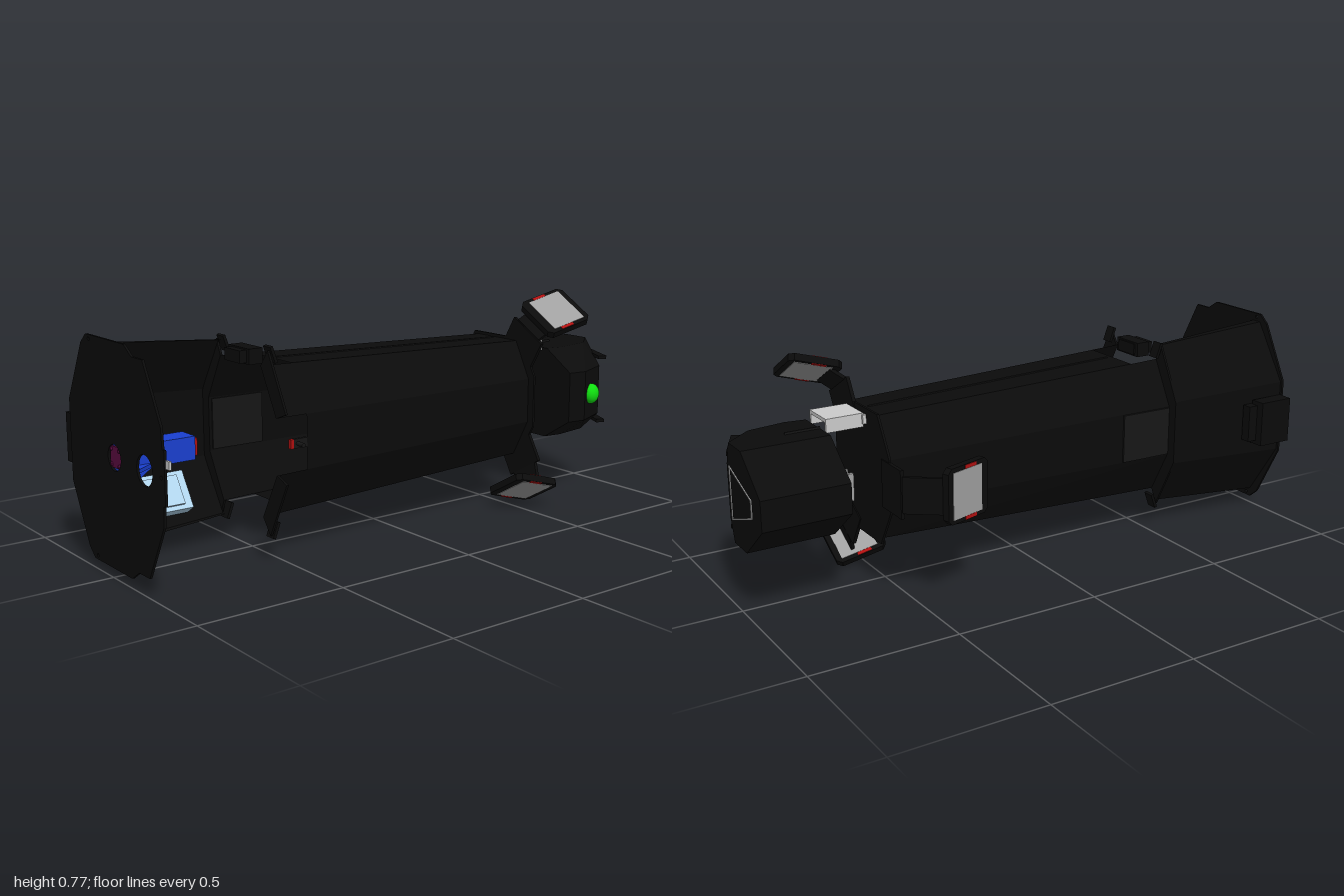
import * as THREE from 'three';
import { ConvexGeometry } from 'three/addons/geometries/ConvexGeometry.js';

const CX = 0.035, CY = 0.387;
const mat = (color) => new THREE.MeshStandardMaterial({ color, flatShading: true, side: THREE.DoubleSide });
const black = mat(0x0b0b0b), dark = mat(0x161616), grey = mat(0xa0a0a0), silver = mat(0xcccccc),
  red = mat(0xb01010), blue = mat(0x1a3fd0), purple = mat(0x5a0a40), pale = mat(0xb4d8f0);

function add(parent, name, geo, material, x = 0, y = 0, z = 0) {
  const m = new THREE.Mesh(geo, material);
  m.name = name;
  m.position.set(x, y, z);
  parent.add(m);
  return m;
}
const box = (p, name, m, w, h, d, x, y, z) => add(p, name, new THREE.BoxGeometry(w, h, d), m, x, y, z);

// Eight-sided section: half width/height, half length of the side and top flats
const octagon = (hx, hy, sy, tx, cx = CX, cy = CY) => [
  [tx, hy], [-tx, hy], [-hx, sy], [-hx, -sy], [-tx, -hy], [tx, -hy], [hx, -sy], [hx, sy],
].map(([x, y]) => [cx + x, cy + y]);

// Sheet between two sections; startZ(i) lets a facet begin further back
function loft(a, za, b, zb, closed, startZ = () => za) {
  const pos = [];
  const n = closed ? a.length : a.length - 1;
  for (let i = 0; i < n; i++) {
    const j = (i + 1) % a.length;
    const t = (startZ(i) - za) / (zb - za);
    const at = (k, s) => [a[k][0] + (b[k][0] - a[k][0]) * s, a[k][1] + (b[k][1] - a[k][1]) * s, za + (zb - za) * s];
    const [p, q, r, s] = [at(i, t), at(j, t), at(j, 1), at(i, 1)];
    pos.push(...p, ...r, ...q, ...p, ...s, ...r);
  }
  const g = new THREE.BufferGeometry();
  g.setAttribute('position', new THREE.Float32BufferAttribute(pos, 3));
  g.computeVertexNormals();
  return g;
}

// Flat sheet with round holes or an inner outline
function sheet(points, depth, circles = [], inner = null) {
  const s = new THREE.Shape(points.map(([x, y]) => new THREE.Vector2(x, y)));
  for (const [x, y, r] of circles) s.holes.push(new THREE.Path().absarc(x, y, r, 0, Math.PI * 2, true));
  if (inner) s.holes.push(new THREE.Path(inner.map(([x, y]) => new THREE.Vector2(x, y))));
  return new THREE.ExtrudeGeometry(s, { depth, bevelEnabled: false, curveSegments: 20 });
}

// Flat bar between two points in the xz plane
function bar(p, name, a, b, width) {
  const dx = b[0] - a[0], dz = b[1] - a[1];
  const m = box(p, name, black, 0.012, width, Math.hypot(dx, dz), (a[0] + b[0]) / 2, 0, (a[1] + b[1]) / 2);
  m.rotation.y = Math.atan2(dx, dz);
}

// Tilted two-sided lamp on a bent arm; outward is -x before the group is turned
function lamp(angle, z0, zAttach) {
  const g = new THREE.Group();
  g.name = 'lamp';
  g.position.set(CX, CY, 0);
  g.rotation.z = angle;
  const attach = [-0.345 + (zAttach - z0) * 0.3, zAttach];
  bar(g, 'lampArmBase', [-0.16, -0.556], [-0.29, -0.556], 0.16);
  bar(g, 'lampArm', [-0.29, -0.556], attach, 0.12);
  const head = new THREE.Group();
  head.name = 'lampHead';
  head.position.set(-0.356, 0, z0);
  head.rotation.y = 0.3;
  g.add(head);
  const f = add(head, 'lampFrame', sheet(octagon(0.09, 0.092, 0.076, 0.074, 0, 0), 0.024), black, 0.012, 0, 0);
  f.rotation.y = -Math.PI / 2;
  box(head, 'lampPanel', grey, 0.028, 0.155, 0.13, 0, 0, -0.005);
  for (const s of [-1, 1]) box(head, 'lampMarker', red, 0.028, 0.012, 0.05, 0, s * 0.084, 0.01);
  return g;
}

export function createModel() {
  const root = new THREE.Group();
  root.name = 'model';

  // Front plate with service holes
  const outline = [
    [-0.125, 0.74], [-0.16, 0.71], [-0.26, 0.52], [-0.26, 0.255], [-0.16, 0.063], [-0.125, 0.033],
    [0.12, 0.033], [0.165, 0.063], [0.23, 0.063], [0.325, 0.24], [0.33, 0.305], [0.34, 0.305],
    [0.34, 0.47], [0.33, 0.47], [0.325, 0.533], [0.23, 0.71], [0.165, 0.71], [0.12, 0.74],
  ];
  const holes = [[CX, CY, 0.041], [0.222, CY, 0.047], [-0.105, 0.727, 0.006], [-0.105, 0.046, 0.006], [0.32, CY, 0.006]];
  add(root, 'frontPlate', sheet(outline, 0.008, holes), black, 0, 0, 0.99);
  box(root, 'plateLatch', silver, 0.02, 0.025, 0.008, 0.35, 0.428, 0.99);

  // Half shell behind the front plate, open on the left
  const shellFront = [[-0.09, 0.712], [-0.125, 0.712], [-0.252, 0.515], [-0.252, 0.259], [-0.125, 0.065], [-0.09, 0.065]];
  const shellBack = [[-0.09, 0.68], [-0.105, 0.68], [-0.215, 0.5], [-0.215, 0.274], [-0.105, 0.1], [-0.09, 0.1]];
  add(root, 'baseShell', loft(shellFront, 0.99, shellBack, 0.545, false), black);
  box(root, 'sideHousing', black, 0.055, 0.16, 0.13, -0.28, CY, 0.925);
  box(root, 'sideHousingTop', black, 0.035, 0.13, 0.05, -0.262, CY, 0.85);

  // Blue mount: square plate, neck and paired triangular ribs on each side
  box(root, 'mountPlate', blue, 0.2, 0.19, 0.014, CX, CY, 0.982);
  box(root, 'mountNeck', blue, 0.078, 0.074, 0.24, CX, CY, 0.865);
  box(root, 'mountTip', red, 0.055, 0.055, 0.014, CX, CY, 0.738);
  box(root, 'mountFace', purple, 0.066, 0.066, 0.006, CX, CY, 0.991);
  for (let i = 0; i < 4; i++) {
    const side = new THREE.Group();
    side.name = 'mountRibs';
    side.position.set(CX, CY, 0);
    side.rotation.z = i * Math.PI / 2;
    root.add(side);
    for (const s of [-1, 1]) {
      const rib = add(side, 'mountRib', sheet([[0.037, 0.976], [0.037, 0.89], [0.095, 0.976]], 0.012), blue, 0, s * 0.03 + 0.006, 0);
      rib.rotation.x = Math.PI / 2;
    }
    add(side, 'mountBolt', new THREE.SphereGeometry(0.007, 10, 6), purple, 0.024, 0.024, 0.993);
  }

  // Pale box lying inside on the lower slope of the shell
  const pack = new THREE.Group();
  pack.name = 'batteryBox';
  pack.position.set(-0.134, 0.19, 0.8);
  pack.rotation.z = -0.99;
  root.add(pack);
  box(pack, 'batteryBody', pale, 0.13, 0.05, 0.26, 0, 0, 0);
  box(pack, 'batteryLid', pale, 0.1, 0.012, 0.2, 0, 0.03, 0);

  // Tapered eight-sided body; top, bottom and left facets start behind openings
  const bodyFront = octagon(0.2, 0.242, 0.09, 0.118, 0.022);
  const bodyBack = octagon(0.168, 0.208, 0.078, 0.1, 0.023);
  add(root, 'body', loft(bodyFront, 0.54, bodyBack, -0.55, true, (i) => ([0, 4, 6].includes(i) ? 0.43 : 0.54)), black);
  add(root, 'endPlate', sheet(octagon(0.195, 0.218, 0.09, 0.12, 0.023), 0.008), black, 0, 0, -0.558);

  // Collar flange: one piece on the right, two on the left slopes
  const collar = octagon(0.245, 0.295, 0.11, 0.15, 0.03);
  for (const ids of [[1, 2, 3, 4], [5, 6], [7, 0]]) {
    const ring = [...ids.map((i) => collar[i]), ...ids.map((i) => bodyFront[i]).reverse()];
    add(root, 'collar', sheet(ring, 0.008), black, 0, 0, 0.538);
  }

  // Seams, collar tabs, side cover and latches
  for (const s of [-1, 1]) {
    const seam = box(root, 'seam', dark, 0.008, 0.004, 0.94, 0.023, CY + s * 0.225, -0.06);
    seam.rotation.x = -s * 0.031;
    for (const x of [-0.11, 0.165]) {
      const tab = box(root, 'collarTab', black, 0.04, 0.055, 0.01, x, CY + s * 0.28, 0.525);
      tab.rotation.x = s * 0.35;
    }
  }
  const cover = box(root, 'sideCover', dark, 0.012, 0.17, 0.19, -0.176, CY, 0.44);
  cover.rotation.y = -0.03;
  const pin = new THREE.CylinderGeometry(0.007, 0.007, 0.04, 12).rotateZ(Math.PI / 2);
  add(root, 'sidePin', pin, dark, 0.232, CY, 0.465);
  box(root, 'sidePinBracket', dark, 0.012, 0.03, 0.05, 0.214, CY, 0.455);
  box(root, 'connector', red, 0.014, 0.03, 0.012, 0.214, CY, 0.486);
  box(root, 'topLatch', black, 0.12, 0.05, 0.05, 0.03, 0.65, 0.53);
  box(root, 'topLatchFoot', black, 0.09, 0.04, 0.08, 0.03, 0.65, 0.54);

  // Three lamps around the rear, stepped along the axis
  root.add(lamp(0, -0.37, -0.45), lamp(Math.PI * 2 / 3, -0.515, -0.54), lamp(-Math.PI * 2 / 3, -0.65, -0.6));

  // Silver hinge bracket and small hooks ahead of the head
  box(root, 'hingePlate', silver, 0.125, 0.012, 0.13, 0.047, 0.584, -0.63);
  for (const x of [-0.01, 0.104]) box(root, 'hingeCheek', silver, 0.01, 0.04, 0.13, x, 0.564, -0.63);
  box(root, 'hingeBase', silver, 0.14, 0.03, 0.012, 0.047, 0.57, -0.565);
  for (const x of [-0.125, -0.085]) box(root, 'headHook', grey, 0.012, 0.09, 0.04, x, 0.395, -0.68);
  box(root, 'hookFoot', grey, 0.03, 0.02, 0.012, -0.075, 0.395, -0.655);

  // Faceted head, swept back on the left
  const pts = [];
  const section = (z, xs) => {
    const half = [0.05, 0.165, 0.165, 0.09];
    xs.forEach((x, i) => { for (const s of [-1, 1]) pts.push(new THREE.Vector3(x, CY + s * half[i], z)); });
  };
  section(-0.7, [-0.2, -0.06, 0.13, 0.25]);
  section(-0.77, [-0.2, -0.06, 0.14, 0.26]);
  section(-0.9, [-0.2, -0.06, 0.12, 0.205]);
  section(-0.995, [-0.2, -0.06, 0.04, 0.065]);
  add(root, 'head', new ConvexGeometry(pts), black);
  for (const s of [-1, 1]) {
    const fin = box(root, 'headFin', black, 0.17, 0.012, 0.03, 0.135, CY + s * 0.12, -0.945);
    fin.rotation.y = -0.45;
    box(root, 'headRail', dark, 0.006, 0.012, 0.12, 0.02, CY + s * 0.166, -0.76);
  }

  // Thin trapezoid trim on the back of the head
  const trim = [[-0.13, CY + 0.03], [-0.13, CY - 0.03], [0.045, CY - 0.09], [0.045, CY + 0.09]];
  const trimInner = trim.map(([x, y]) => [-0.02 + (x + 0.02) * 0.93, CY + (y - CY) * 0.93]);
  add(root, 'headTrim', sheet(trim, 0.003, [], trimInner), silver, 0, 0, -0.998);

  // Green button on the slanted left side of the head
  const button = new THREE.SphereGeometry(0.037, 24, 16).scale(0.75, 1, 1);
  const b = add(root, 'button', button, new THREE.MeshStandardMaterial({ color: 0x10e010 }), 0.243, CY, -0.82);
  b.rotation.y = 0.4;
  return root;
}
